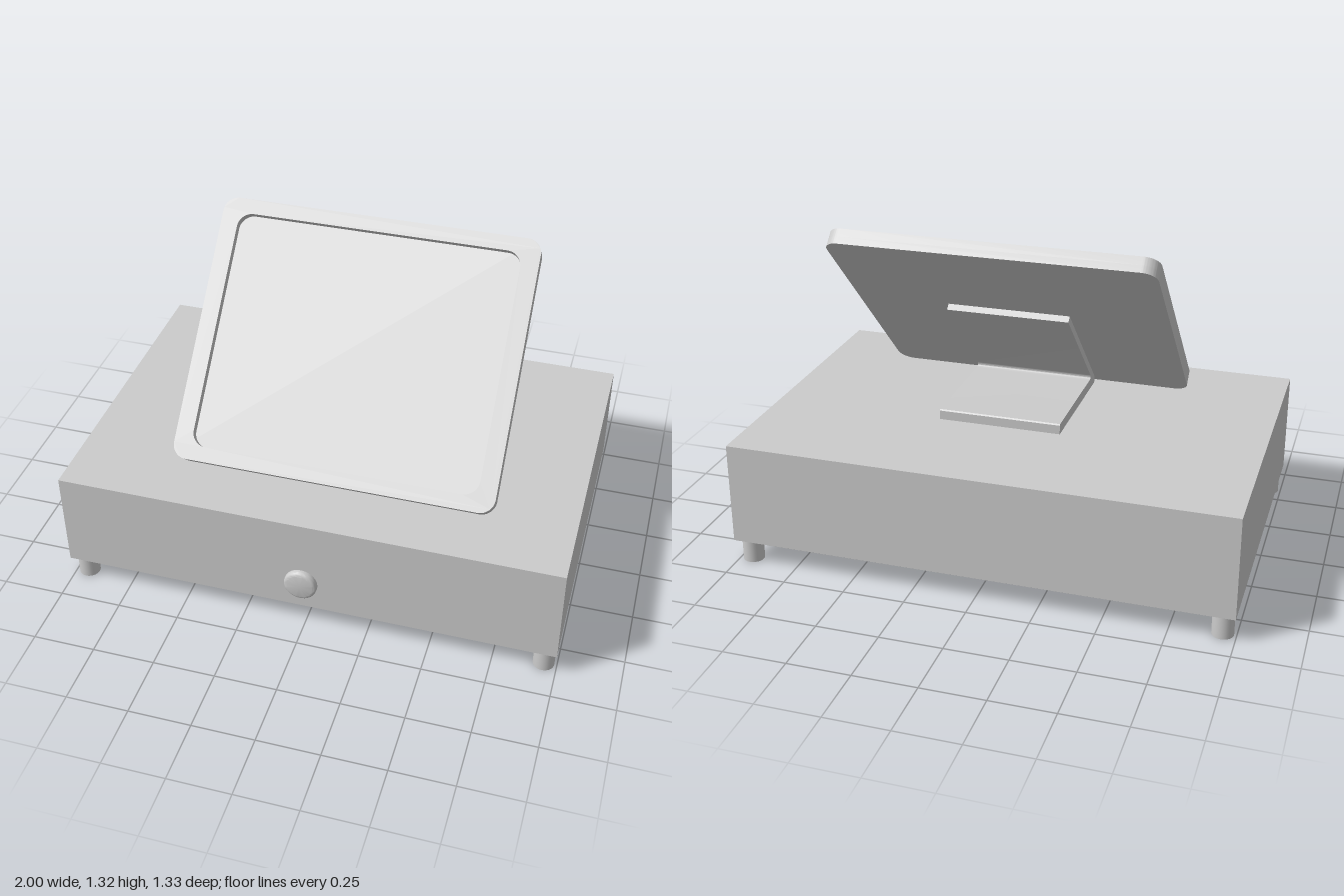
import * as THREE from 'three';
import { toCreasedNormals } from 'three/addons/utils/BufferGeometryUtils.js';

const material = new THREE.MeshStandardMaterial({ color: 0xcccccc });

function addPart(parent, name, geometry, x = 0, y = 0, z = 0) {
  const mesh = new THREE.Mesh(geometry, material);
  mesh.name = name;
  mesh.position.set(x, y, z);
  parent.add(mesh);
  return mesh;
}

// Traces a rounded rectangle centred on the origin into a Shape or Path
function roundedRect(path, w, h, r) {
  const x = w / 2, y = h / 2;
  path.moveTo(-x + r, -y);
  path.lineTo(x - r, -y);
  path.absarc(x - r, -y + r, r, -Math.PI / 2, 0);
  path.lineTo(x, y - r);
  path.absarc(x - r, y - r, r, 0, Math.PI / 2);
  path.lineTo(-x + r, y);
  path.absarc(-x + r, y - r, r, Math.PI / 2, Math.PI);
  path.lineTo(-x, -y + r);
  path.absarc(-x + r, -y + r, r, Math.PI, Math.PI * 1.5);
  return path;
}

function extrude(shape, depth) {
  const geometry = new THREE.ExtrudeGeometry(shape, { depth, bevelEnabled: false, curveSegments: 10 });
  return toCreasedNormals(geometry, Math.PI / 6);
}

export function createModel() {
  const model = new THREE.Group();
  model.name = 'cashRegister';

  // Cash drawer box on four round feet
  addPart(model, 'drawerBox', new THREE.BoxGeometry(2, 0.413, 1.307), 0, 0.3065, -0.0115);
  const footGeometry = new THREE.CylinderGeometry(0.042, 0.042, 0.1, 32);
  for (const x of [-0.948, 0.948]) {
    for (const z of [-0.607, 0.586]) addPart(model, 'foot', footGeometry, x, 0.05, z);
  }

  // Round lock button with a softened rim
  const buttonProfile = [[0, 0], [0.066, 0], [0.066, 0.012], [0.064, 0.019], [0.059, 0.024], [0.052, 0.026], [0, 0.026]]
    .map(([r, y]) => new THREE.Vector2(r, y));
  const buttonGeometry = toCreasedNormals(new THREE.LatheGeometry(buttonProfile, 40), Math.PI / 5);
  buttonGeometry.rotateX(Math.PI / 2);
  addPart(model, 'lockButton', buttonGeometry, -0.01, 0.222, 0.642);

  // Bent stand: side profile in (z, y), extruded across x
  const bend = new THREE.Shape();
  bend.moveTo(-0.185, 0.513);
  bend.lineTo(0.353, 0.513);
  bend.quadraticCurveTo(0.365, 0.513, 0.365, 0.527);
  bend.lineTo(0.365, 0.54);
  bend.lineTo(-0.056, 0.961);
  bend.lineTo(-0.077, 0.943);
  bend.lineTo(0.289, 0.577);
  bend.quadraticCurveTo(0.305, 0.556, 0.278, 0.555);
  bend.lineTo(-0.18, 0.555);
  bend.lineTo(-0.185, 0.55);
  const standGeometry = extrude(bend, 0.5);
  standGeometry.rotateY(-Math.PI / 2);
  addPart(model, 'stand', standGeometry, 0.296);

  // Tilted screen: back panel plus a raised frame around the recessed display
  const screen = new THREE.Group();
  screen.name = 'screen';
  screen.position.set(0.04, 0.895, 0.011);
  screen.rotation.x = -Math.PI / 4;
  model.add(screen);

  const outline = () => roundedRect(new THREE.Shape(), 1.29, 1.074, 0.06);
  addPart(screen, 'displayPanel', extrude(outline(), 0.03));
  const frame = outline();
  frame.holes.push(roundedRect(new THREE.Path(), 1.15, 0.956, 0.06));
  addPart(screen, 'screenFrame', extrude(frame, 0.035), 0, 0, 0.03);

  return model;
}
